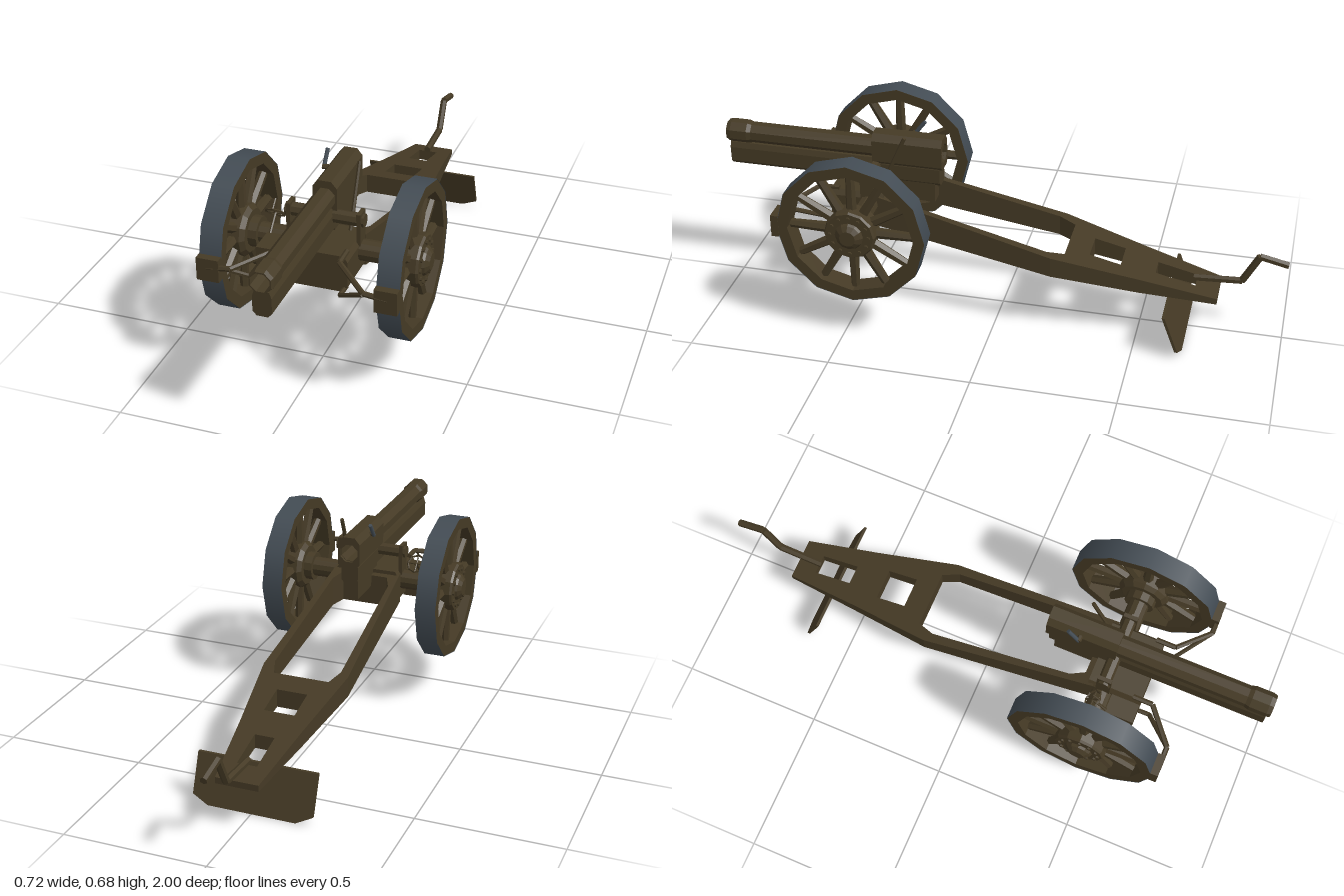
import * as THREE from 'three';

const olive = new THREE.MeshStandardMaterial({ color: 0x453a25, flatShading: true, side: THREE.DoubleSide });
olive.name = 'olive paint';
const steel = new THREE.MeshStandardMaterial({ color: 0x434c54, side: THREE.DoubleSide });
steel.name = 'grey steel';

const V = (x, y, z) => new THREE.Vector3(x, y, z);

function add(parent, name, geometry, material = olive) {
  const mesh = new THREE.Mesh(geometry, material);
  mesh.name = name;
  parent.add(mesh);
  return mesh;
}

function box(parent, name, x0, x1, y0, y1, z0, z1) {
  const g = new THREE.BoxGeometry(x1 - x0, y1 - y0, z1 - z0);
  g.translate((x0 + x1) / 2, (y0 + y1) / 2, (z0 + z1) / 2);
  return add(parent, name, g);
}

// Straight bar between two points
function rod(parent, name, a, b, r, material = olive, sides = 6, r2 = r) {
  const mesh = add(parent, name, new THREE.CylinderGeometry(r2, r, a.distanceTo(b), sides), material);
  mesh.position.copy(a).add(b).multiplyScalar(0.5);
  mesh.quaternion.setFromUnitVectors(V(0, 1, 0), b.clone().sub(a).normalize());
  return mesh;
}

// Bent bar made of straight runs
function bentRod(parent, name, points, r) {
  for (let i = 1; i < points.length; i++) rod(parent, name, points[i - 1], points[i], r);
}

// Outline from [x, y] pairs; mirrored half-outlines give symmetric parts
const shapeOf = (pts) => new THREE.Shape(pts.map(([x, y]) => new THREE.Vector2(x, y)));
const mirrored = (half) => [...half, ...half.slice().reverse().map(([x, y]) => [-x, y])];

function extrudeZ(parent, name, shape, z0, z1) {
  const g = new THREE.ExtrudeGeometry(shape, { depth: z1 - z0, bevelEnabled: false });
  g.translate(0, 0, z0);
  return add(parent, name, g);
}

function createWheel(side) {
  const wheel = new THREE.Group();
  wheel.name = side > 0 ? 'leftWheel' : 'rightWheel';
  const lathe = (pts, n) => new THREE.LatheGeometry(pts.map(([r, y]) => new THREE.Vector2(r, y)), n);
  // Local y is the axle, pointing outward
  add(wheel, 'tyre', new THREE.CylinderGeometry(0.262, 0.262, 0.076, 12, 1, true), steel);
  add(wheel, 'rim', lathe([[0.222, -0.037], [0.261, -0.037], [0.261, 0.037], [0.222, 0.037], [0.222, -0.037]], 12));
  add(wheel, 'hub', lathe([[0, -0.04], [0.075, -0.04], [0.09, -0.025], [0.09, 0.035],
    [0.085, 0.043], [0.05, 0.043], [0.045, 0.052], [0.028, 0.064], [0, 0.064]], 12));
  for (let i = 0; i < 12; i++) {
    const a = (i * Math.PI) / 6;
    const at = (r, y) => V(Math.sin(a) * r, y, Math.cos(a) * r);
    rod(wheel, 'spoke', at(0.08, 0), at(0.23, 0), 0.019, olive, 6, 0.015);
    rod(wheel, 'hubBolt', at(0.068, 0.04), at(0.068, 0.049), 0.007);
  }
  wheel.rotation.z = -side * Math.PI / 2;
  wheel.position.set(side * 0.295, 0.415, 0.455);
  return wheel;
}

function createTrail() {
  const trail = new THREE.Group();
  trail.name = 'trail';
  // Plan outline, with y standing for z
  const plan = shapeOf(mirrored([[0.075, -0.77], [0.11, -0.5], [0.155, -0.2], [0.15, -0.1], [0.125, 0.42]]));
  const holes = [
    [[0.1, -0.24], [0.122, -0.18], [0.108, 0.33], [0.085, 0.38]],
    [[0.055, -0.43], [0.055, -0.32]],
    [[0.035, -0.69], [0.035, -0.55]],
  ];
  for (const h of holes) plan.holes.push(shapeOf(mirrored(h)));
  const g = new THREE.ExtrudeGeometry(plan, { depth: 1, bevelEnabled: false });
  const p = g.attributes.position;
  // Depth 0 becomes the sloping top, depth 1 the sloping underside
  for (let i = 0; i < p.count; i++) {
    const z = p.getY(i);
    const top = 0.4 + (z - 0.2) * 0.232;
    const bottom = Math.max(0.153, 0.3 + (z - 0.2) * 0.165);
    p.setXYZ(i, p.getX(i), p.getZ(i) < 0.5 ? top : bottom, z);
  }
  g.computeVertexNormals();
  add(trail, 'trailFrame', g);

  // Ground spade hung under the tail
  const spade = extrudeZ(trail, 'spade', shapeOf(mirrored([[0.155, 0], [0.212, 0.027], [0.212, 0.16]])), -0.005, 0.005);
  const s = spade.geometry.attributes.position;
  for (let i = 0; i < s.count; i++) s.setZ(i, s.getZ(i) - 0.665 + s.getY(i) * 0.38);
  spade.geometry.computeVertexNormals();

  bentRod(trail, 'handspike', [V(0, 0.205, -0.68), V(0, 0.215, -0.845), V(0, 0.32, -0.9), V(0, 0.298, -0.998)], 0.013);
  return trail;
}

function createGun() {
  const gun = new THREE.Group();
  gun.name = 'gun';
  // Open tube with a thicker muzzle band
  const profile = [[0.033, 0.22], [0.037, 0.22], [0.037, 0.91], [0.042, 0.925], [0.042, 0.985],
    [0.038, 1], [0.033, 1], [0.033, 0.22]];
  const barrel = new THREE.LatheGeometry(profile.map(([r, y]) => new THREE.Vector2(r, y)), 8);
  barrel.rotateY(Math.PI / 8);
  barrel.rotateX(Math.PI / 2);
  barrel.translate(0, 0.585, 0);
  add(gun, 'barrel', barrel);

  const breech = shapeOf(mirrored([[0.027, 0.53], [0.041, 0.545], [0.041, 0.622], [0.022, 0.645]]));
  breech.holes.push(shapeOf(Array.from({ length: 8 }, (_, i) => {
    const a = ((i + 0.5) * Math.PI) / 4;
    return [Math.cos(a) * 0.035, 0.585 + Math.sin(a) * 0.035];
  })));
  extrudeZ(gun, 'breech', breech, 0.21, 0.46);
  extrudeZ(gun, 'cradle', shapeOf(mirrored([[0.018, 0.464], [0.031, 0.478], [0.031, 0.53], [0.024, 0.55]])), 0.22, 0.99);
  box(gun, 'elevatingBracket', -0.025, 0.025, 0.4, 0.48, 0.24, 0.44);
  rod(gun, 'breechHandle', V(-0.051, 0.62, 0.33), V(-0.051, 0.672, 0.29), 0.007, steel);
  rod(gun, 'breechHandlePivot', V(-0.035, 0.625, 0.33), V(-0.055, 0.625, 0.33), 0.009);
  rod(gun, 'trunnion', V(-0.135, 0.523, 0.455), V(0.135, 0.523, 0.455), 0.023, olive, 8);
  return gun;
}

function createCarriage() {
  const carriage = new THREE.Group();
  carriage.name = 'carriage';
  extrudeZ(carriage, 'carriageBody', shapeOf(mirrored([[0.1, 0.33], [0.122, 0.35], [0.122, 0.44], [0.11, 0.46]])), 0.4, 0.59);
  box(carriage, 'toolBox', -0.19, -0.115, 0.336, 0.44, 0.49, 0.59);
  rod(carriage, 'axle', V(-0.27, 0.415, 0.455), V(0.27, 0.415, 0.455), 0.036, olive, 12);

  for (const s of [-1, 1]) {
    rod(carriage, 'axleCollar', V(s * 0.225, 0.415, 0.455), V(s * 0.262, 0.415, 0.455), 0.053, olive, 12);
    const x = s * 0.12;
    box(carriage, 'trunnionBracket', x - 0.007, x + 0.007, 0.44, 0.553, 0.43, 0.48);
    // Brake linkage reaching round to the front of each wheel
    bentRod(carriage, 'brakeArm', [V(s * 0.11, 0.465, 0.56), V(s * 0.11, 0.463, 0.63),
      V(s * 0.22, 0.43, 0.727), V(s * 0.3, 0.42, 0.727)], 0.009);
    bentRod(carriage, 'brakeStay', [V(s * 0.11, 0.34, 0.57), V(s * 0.11, 0.343, 0.63), V(s * 0.22, 0.425, 0.727)], 0.008);
    const c = s * 0.295;
    box(carriage, 'brakeShoe', c - 0.038, c + 0.038, 0.375, 0.455, 0.708, 0.735);
  }

  rod(carriage, 'brakeLever', V(0.073, 0.44, 0.43), V(0.073, 0.665, 0.33), 0.007);

  // Tilted laying wheel with crossed spokes
  const hand = new THREE.Group();
  hand.name = 'handwheel';
  add(hand, 'handwheelRim', new THREE.TorusGeometry(0.034, 0.004, 4, 8));
  rod(hand, 'handwheelSpoke', V(-0.034, 0, 0), V(0.034, 0, 0), 0.003);
  rod(hand, 'handwheelSpoke', V(0, -0.034, 0), V(0, 0.034, 0), 0.003);
  rod(hand, 'handwheelShaft', V(0, 0, 0), V(0, 0, 0.075), 0.005);
  rod(hand, 'handwheelGrip', V(0, 0.034, 0), V(0, 0.034, -0.038), 0.004);
  hand.rotation.x = Math.PI / 4;
  hand.position.set(-0.18, 0.488, 0.44);
  carriage.add(hand);
  return carriage;
}

export function createModel() {
  const model = new THREE.Group();
  model.name = 'fieldGun';
  model.add(createTrail(), createGun(), createCarriage(), createWheel(1), createWheel(-1));
  return model;
}
